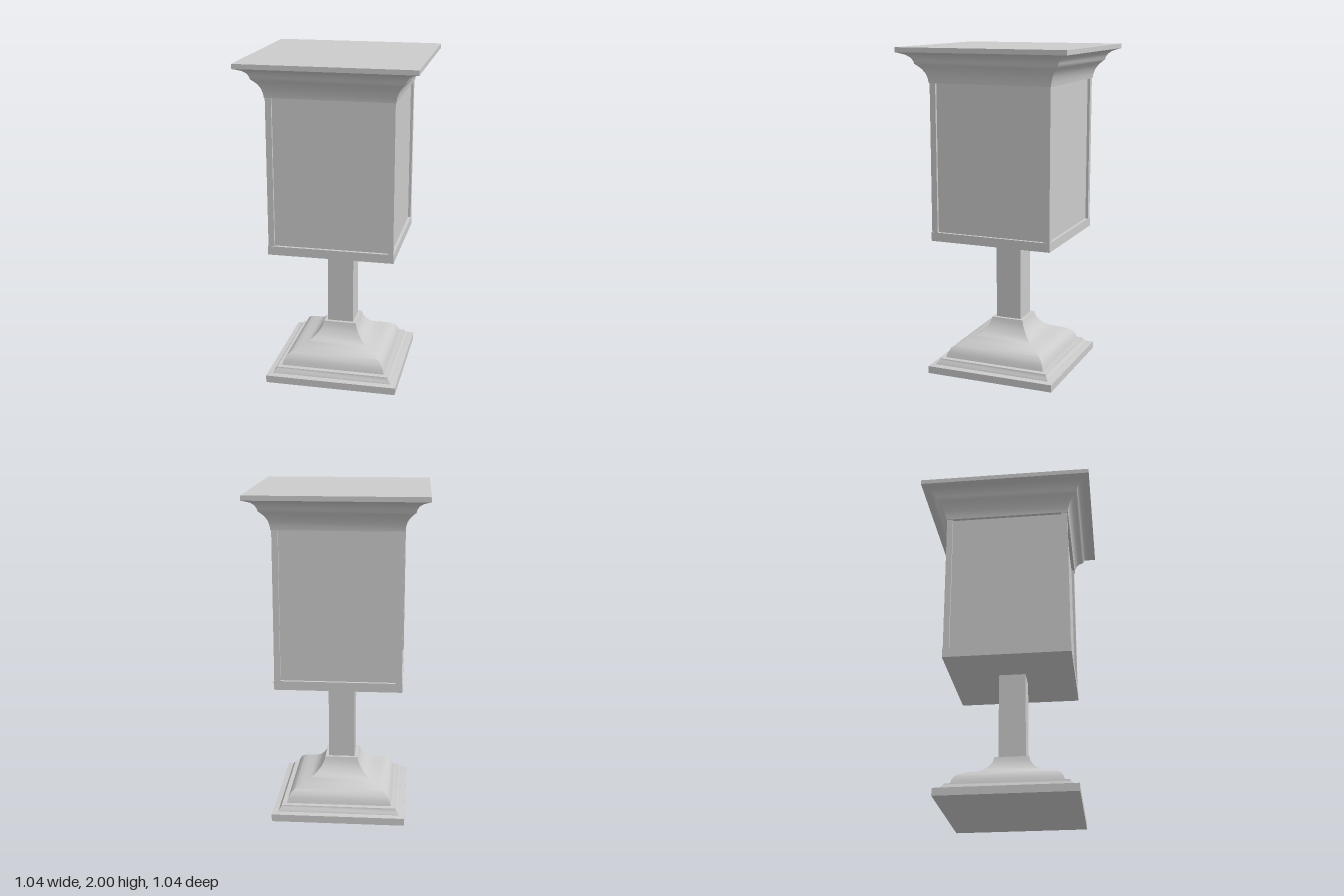
import * as THREE from 'three';
import { toCreasedNormals } from 'three/addons/utils/BufferGeometryUtils.js';

const material = new THREE.MeshStandardMaterial({ color: 0xcccccc });

function add(parent, name, geometry, x = 0, y = 0, z = 0) {
  const mesh = new THREE.Mesh(geometry, material);
  mesh.name = name;
  mesh.position.set(x, y, z);
  parent.add(mesh);
  return mesh;
}

// Square moulding: [half width, height] pairs from bottom to top, mitred at the corners
function moulding(profile) {
  const points = profile.map(([half, y]) => new THREE.Vector2(half * Math.SQRT2, y));
  return toCreasedNormals(new THREE.LatheGeometry(points, 4, Math.PI / 4), 0.7);
}

function boxBetween(parent, name, half, y0, y1) {
  return add(parent, name, new THREE.BoxGeometry(half * 2, y1 - y0, half * 2), 0, (y0 + y1) / 2, 0);
}

export function createModel() {
  const model = new THREE.Group();
  model.name = 'pedestalLantern';

  // Stepped plinth with a flared foot
  add(model, 'base', moulding([
    [0, 0], [0.405, 0], [0.405, 0.045], [0.37, 0.05], [0.365, 0.062], [0.352, 0.075],
    [0.35, 0.085], [0.322, 0.087], [0.314, 0.115], [0.3, 0.142], [0.275, 0.162], [0.235, 0.182],
    [0.185, 0.202], [0.15, 0.226], [0.125, 0.255], [0.11, 0.282], [0.102, 0.312], [0, 0.312],
  ]));

  // Square column
  boxBetween(model, 'column', 0.081, 0.3, 0.85);

  // Cabinet: inset panels, bottom rail and corner posts
  const cabinet = new THREE.Group();
  cabinet.name = 'cabinet';
  model.add(cabinet);
  boxBetween(cabinet, 'panels', 0.36, 0.88, 1.8);
  boxBetween(cabinet, 'bottomRail', 0.379, 0.842, 0.896);
  for (const x of [-1, 1]) {
    for (const z of [-1, 1]) {
      add(cabinet, 'cornerPost', new THREE.BoxGeometry(0.036, 0.9, 0.036), x * 0.358, 1.345, z * 0.358);
    }
  }

  // Flared cornice with a flat top
  add(model, 'cornice', moulding([
    [0, 1.79], [0.38, 1.79], [0.383, 1.815], [0.392, 1.845], [0.408, 1.872], [0.428, 1.893],
    [0.44, 1.903], [0.444, 1.92], [0.456, 1.94], [0.475, 1.955], [0.5, 1.965],
    [0.521, 1.972], [0.521, 2], [0, 2],
  ]));

  return model;
}
